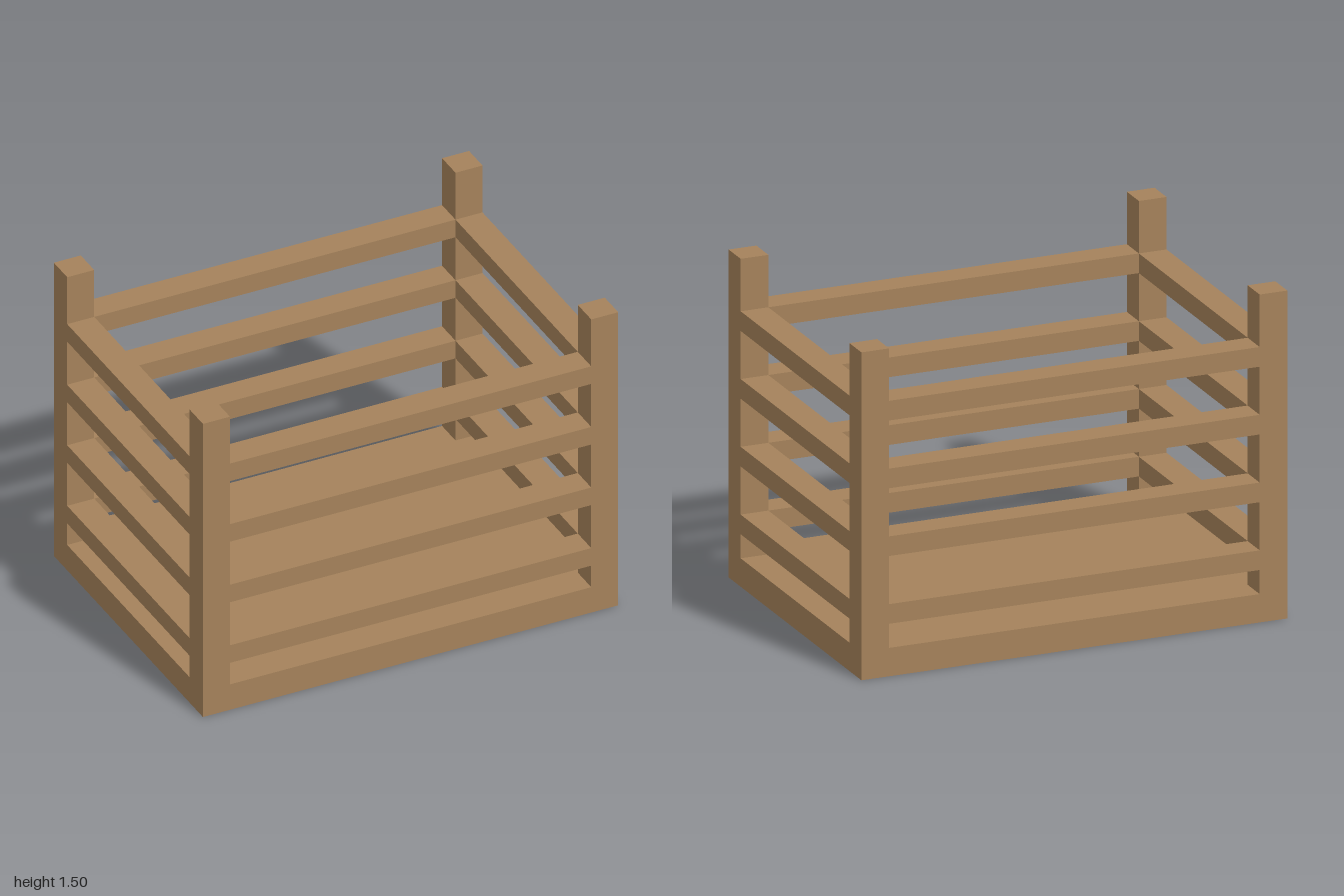
import * as THREE from 'three';

const W = 2, D = 1.44, H = 1.5;   // overall size
const T = 0.13;                   // post, rail and floor thickness
const RAIL_H = 0.09, RAIL_START = 0.24, RAIL_STEP = 0.31, RAIL_COUNT = 4;

export function createModel() {
  const crate = new THREE.Group();
  crate.name = 'slattedCrate';
  const wood = new THREE.MeshStandardMaterial({ color: 0xa5825b });

  // Box placed by its centre in x and z and its bottom in y
  function addBox(name, w, h, d, x, y, z) {
    const mesh = new THREE.Mesh(new THREE.BoxGeometry(w, h, d), wood);
    mesh.name = name;
    mesh.position.set(x, y + h / 2, z);
    crate.add(mesh);
  }

  // Solid floor slab
  addBox('floor', W, T, D, 0, 0, 0);

  const px = (W - T) / 2, pz = (D - T) / 2;

  // Four corner posts standing on the slab corners
  for (const [sx, side] of [[1, 'Left'], [-1, 'Right']]) {
    for (const [sz, end] of [[1, 'front'], [-1, 'back']]) {
      addBox(`${end}${side}Post`, T, H - T, T, sx * px, T, sz * pz);
    }
  }

  // Evenly spaced rails between the posts, flush with them on both faces
  for (let i = 0; i < RAIL_COUNT; i++) {
    const y = RAIL_START + i * RAIL_STEP;
    addBox(`frontRail${i + 1}`, W - 2 * T, RAIL_H, T, 0, y, pz);
    addBox(`backRail${i + 1}`, W - 2 * T, RAIL_H, T, 0, y, -pz);
    addBox(`leftRail${i + 1}`, T, RAIL_H, D - 2 * T, px, y, 0);
    addBox(`rightRail${i + 1}`, T, RAIL_H, D - 2 * T, -px, y, 0);
  }

  return crate;
}
